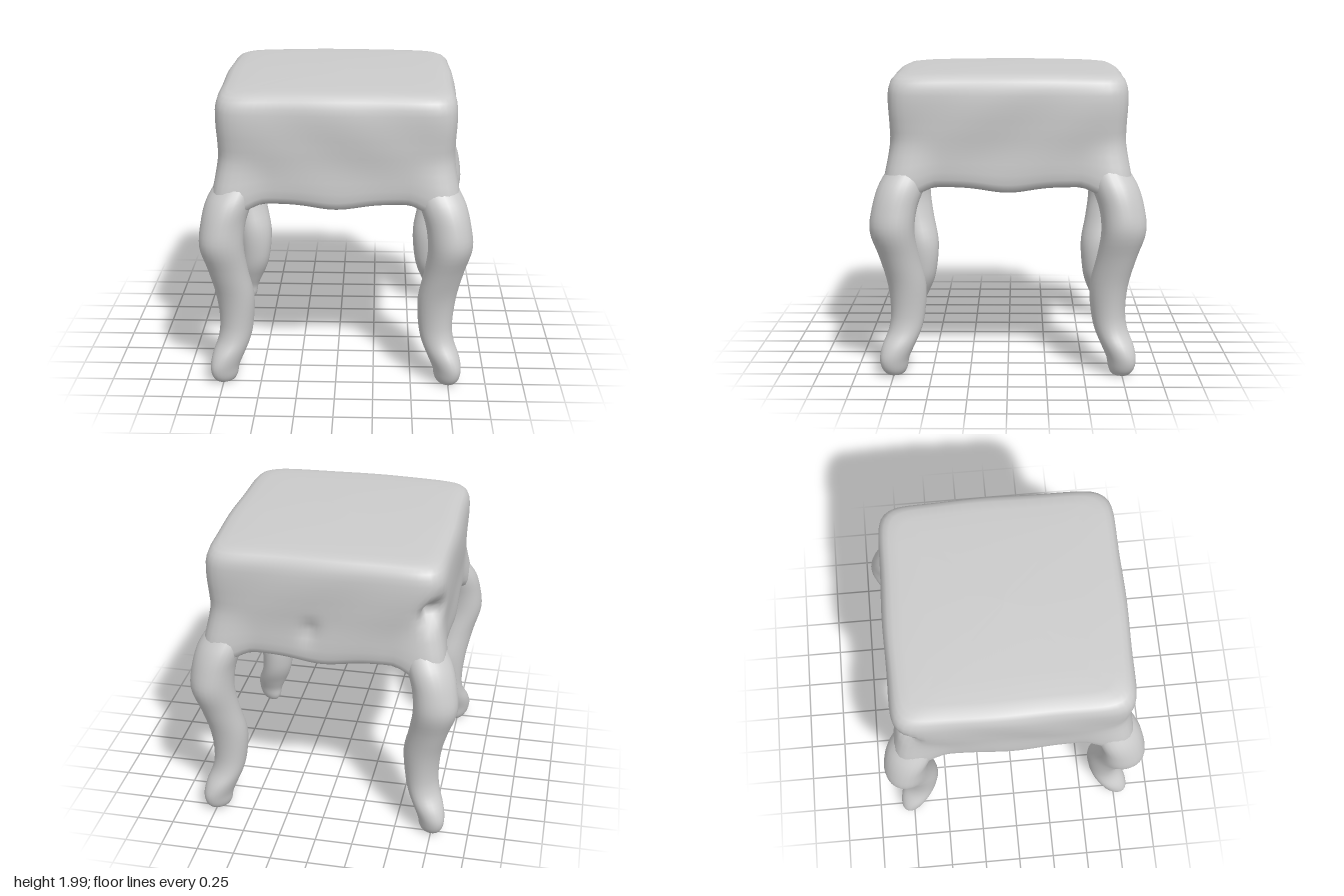
import * as THREE from 'three';

const material = new THREE.MeshStandardMaterial({ color: 0xcccccc, side: THREE.DoubleSide });
const { smoothstep } = THREE.MathUtils;

// Skin a list of closed rings (arrays of Vector3), ordered so faces point outward.
function loft(rings, name) {
  const n = rings[0].length, position = [], index = [];
  rings.forEach(ring => ring.forEach(p => position.push(p.x, p.y, p.z)));
  for (let i = 0; i < rings.length - 1; i++) {
    for (let j = 0; j < n; j++) {
      const k = (j + 1) % n, a = i * n, b = a + n;
      index.push(a + j, b + j, a + k, a + k, b + j, b + k);
    }
  }
  const geometry = new THREE.BufferGeometry();
  geometry.setAttribute('position', new THREE.Float32BufferAttribute(position, 3));
  geometry.setIndex(index);
  geometry.computeVertexNormals();
  const mesh = new THREE.Mesh(geometry, material);
  mesh.name = name;
  return mesh;
}

// Worn dents in the body: centre, radius and depth of push toward the axis.
const dents = [
  { at: new THREE.Vector3(-0.72, 1.65, -0.72), radius: 0.075, depth: 0.13 },
  { at: new THREE.Vector3(0.08, 1.47, -0.77), radius: 0.06, depth: 0.035 },
];

// Lower edge of the apron along a side: a small central drop, falling toward the legs.
function apronEdge(u) {
  return -0.035 * Math.exp(-((u / 0.19) ** 2)) - 0.1 * smoothstep(Math.abs(u), 0.45, 0.67);
}

function seat() {
  // [half width, height, share of the apron wave], from the underside centre round to the top centre
  const profile = [
    [0, 1.47, 0], [0.4, 1.47, 0], [0.6, 1.47, 0], [0.625, 1.45, 0], [0.635, 1.38, 0.4],
    [0.655, 1.31, 0.9], [0.685, 1.27, 1], [0.725, 1.26, 1], [0.75, 1.275, 1], [0.762, 1.31, 0.9],
    [0.765, 1.36, 0.6], [0.763, 1.42, 0.3], [0.762, 1.47, 0.1], [0.763, 1.52, 0], [0.766, 1.57, 0],
    [0.769, 1.61, 0], [0.771, 1.65, 0], [0.773, 1.69, 0], [0.775, 1.73, 0], [0.776, 1.79, 0],
    [0.774, 1.85, 0], [0.768, 1.89, 0], [0.755, 1.925, 0], [0.732, 1.95, 0], [0.7, 1.965, 0],
    [0.64, 1.973, 0], [0.5, 1.98, 0], [0.25, 1.986, 0], [0, 1.988, 0],
  ];
  const sides = 160, power = 11.5;
  const rings = profile.map(([half, y, wave]) => Array.from({ length: sides }, (_, j) => {
    const a = j / sides * Math.PI * 2, c = Math.cos(a), s = Math.sin(a);
    const d = half / (Math.abs(c) ** power + Math.abs(s) ** power) ** (1 / power);
    const p = new THREE.Vector3(c * d, 0, s * d);
    const u = Math.min(Math.abs(p.x), Math.abs(p.z)) * Math.sign(Math.abs(c) > Math.abs(s) ? s : c);
    // gentle bulge in the middle of each side, a crowned top, and corners flaring into the legs
    const middle = Math.cos(Math.min(1, Math.abs(u) / 0.75) * Math.PI / 2);
    const flare = half > 0.72 ? smoothstep(Math.abs(u), 0.42, 0.7) * (1 - smoothstep(y, 1.28, 1.58)) : 0;
    p.multiplyScalar(1 + 0.014 * middle + 0.075 * flare + 0.004 * Math.sin(9 * u + 11 * y));
    p.y = y + wave * apronEdge(u) + (y > 1.9 ? 0.012 * middle : 0);
    for (const { at, radius, depth } of dents) {
      const push = depth * Math.exp(-p.distanceToSquared(at) / radius ** 2);
      const reach = Math.hypot(p.x, p.z) || 1;
      p.x -= p.x / reach * push;
      p.z -= p.z / reach * push;
    }
    return p;
  }));
  return loft(rings, 'seat');
}

// Curved leg bowing along the diagonal; each key is (centre offset, height, radius).
function leg(sx, sz, name) {
  const keys = [
    [0.735, 0.01, 0], [0.735, 0.013, 0.048], [0.74, 0.05, 0.078], [0.742, 0.12, 0.094],
    [0.72, 0.2, 0.106], [0.68, 0.3, 0.108], [0.662, 0.4, 0.112], [0.665, 0.6, 0.126],
    [0.708, 0.8, 0.13], [0.745, 0.98, 0.145], [0.73, 1.13, 0.146], [0.69, 1.26, 0.152],
    [0.645, 1.36, 0.142], [0.605, 1.45, 0.125], [0.58, 1.52, 0.1], [0.58, 1.53, 0],
  ].map(k => new THREE.Vector3(...k));
  const path = new THREE.CatmullRomCurve3(keys);
  const rings = path.getPoints(60).map(({ x: offset, y, z: radius }) => {
    // the foot is long along the diagonal and narrow across it
    const foot = 1 - smoothstep(y, 0.05, 0.32);
    return Array.from({ length: 24 }, (_, j) => {
      const a = j / 24 * Math.PI * 2;
      const r = Math.max(radius, 0) * (1 + 0.025 * Math.sin(3 * a + 7 * y + sx + 2 * sz));
      const across = Math.cos(a) * sx - Math.sin(a) * sz;
      const along = Math.cos(a) * sx + Math.sin(a) * sz;
      const m = r * across * (1 - 0.2 * foot) / 2, n = r * along * (1 + 0.17 * foot) / 2;
      return new THREE.Vector3(sx * (offset + n + m), y, sz * (offset + n - m));
    });
  });
  return loft(rings, name);
}

export function createModel() {
  const stool = new THREE.Group();
  stool.name = 'stool';
  stool.add(seat());
  for (const sx of [-1, 1]) {
    for (const sz of [-1, 1]) {
      stool.add(leg(sx, sz, (sz > 0 ? 'front' : 'back') + (sx > 0 ? 'Left' : 'Right') + 'Leg'));
    }
  }
  return stool;
}
